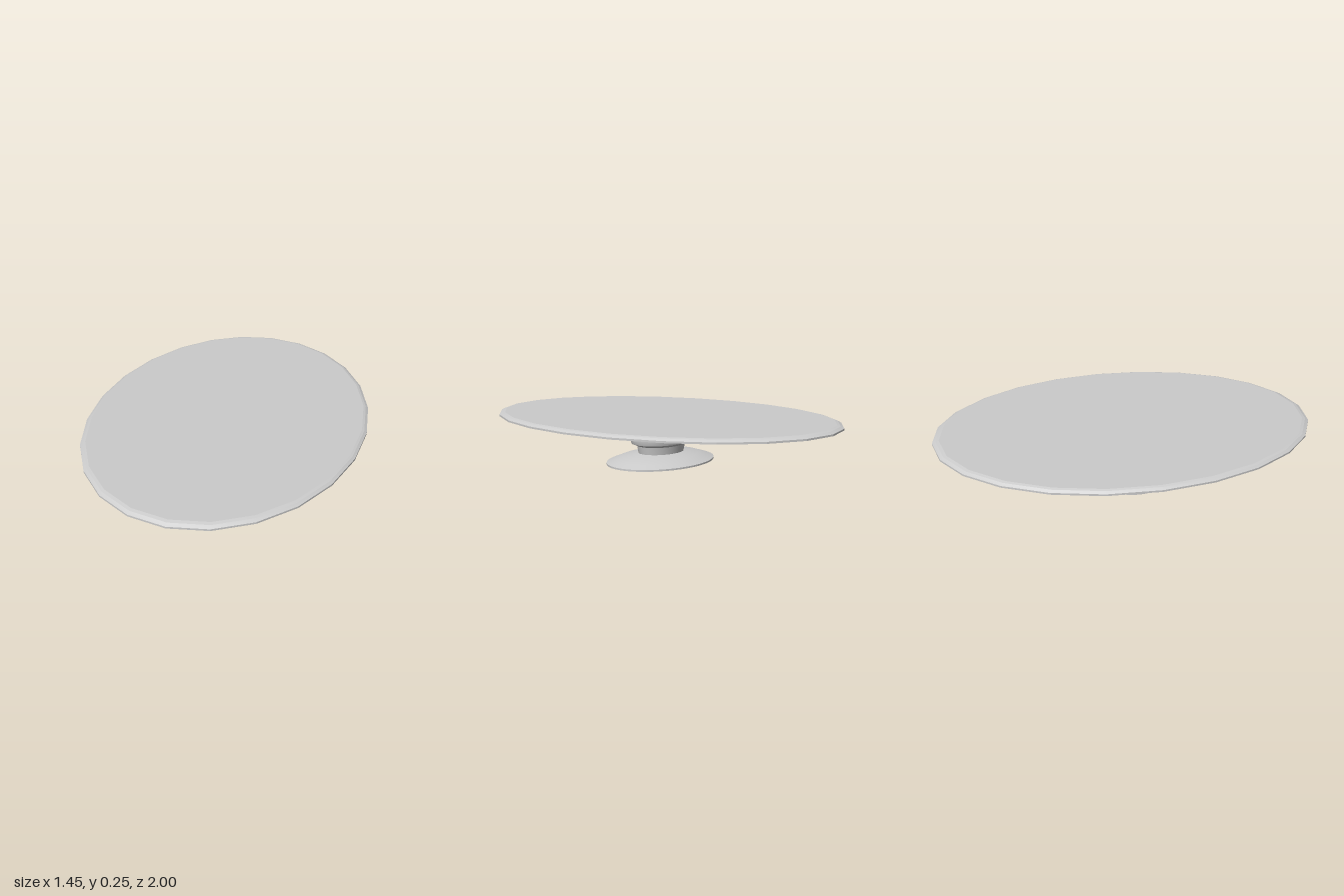
import * as THREE from 'three';
import { toCreasedNormals } from 'three/addons/utils/BufferGeometryUtils.js';

const material = new THREE.MeshStandardMaterial({ color: 0xcccccc });

// Turned part with an oval plan: profile is [x radius, y] from bottom to top
function ovalTurning(name, profile, segments, depthRatio, crease) {
  const points = profile.map(([r, y]) => new THREE.Vector2(r, y));
  const turned = new THREE.LatheGeometry(points, segments);
  turned.scale(1, 1, depthRatio);
  const mesh = new THREE.Mesh(toCreasedNormals(turned, crease), material);
  mesh.name = name;
  return mesh;
}

export function createModel() {
  const table = new THREE.Group();
  table.name = 'ovalTable';

  // Faceted oval slab with a bevelled upper edge
  table.add(ovalTurning('tableTop', [
    [0, 0.233], [0.725, 0.233], [0.725, 0.242], [0.712, 0.251], [0.7, 0.255], [0, 0.255],
  ], 24, 1 / 0.725, 0.2));

  // Spreading foot
  table.add(ovalTurning('foot', [
    [0, 0], [0.34, 0], [0.34, 0.009], [0.29, 0.024], [0.245, 0.037], [0.146, 0.051],
  ], 48, 0.735, 0.5));

  // Neck, rounded collar and flared support
  table.add(ovalTurning('pedestal', [
    [0.144, 0.05], [0.152, 0.09], [0.188, 0.104], [0.2, 0.137], [0.19, 0.168],
    [0.163, 0.183], [0.175, 0.208], [0.202, 0.233],
  ], 48, 0.73, 0.75));

  return table;
}
